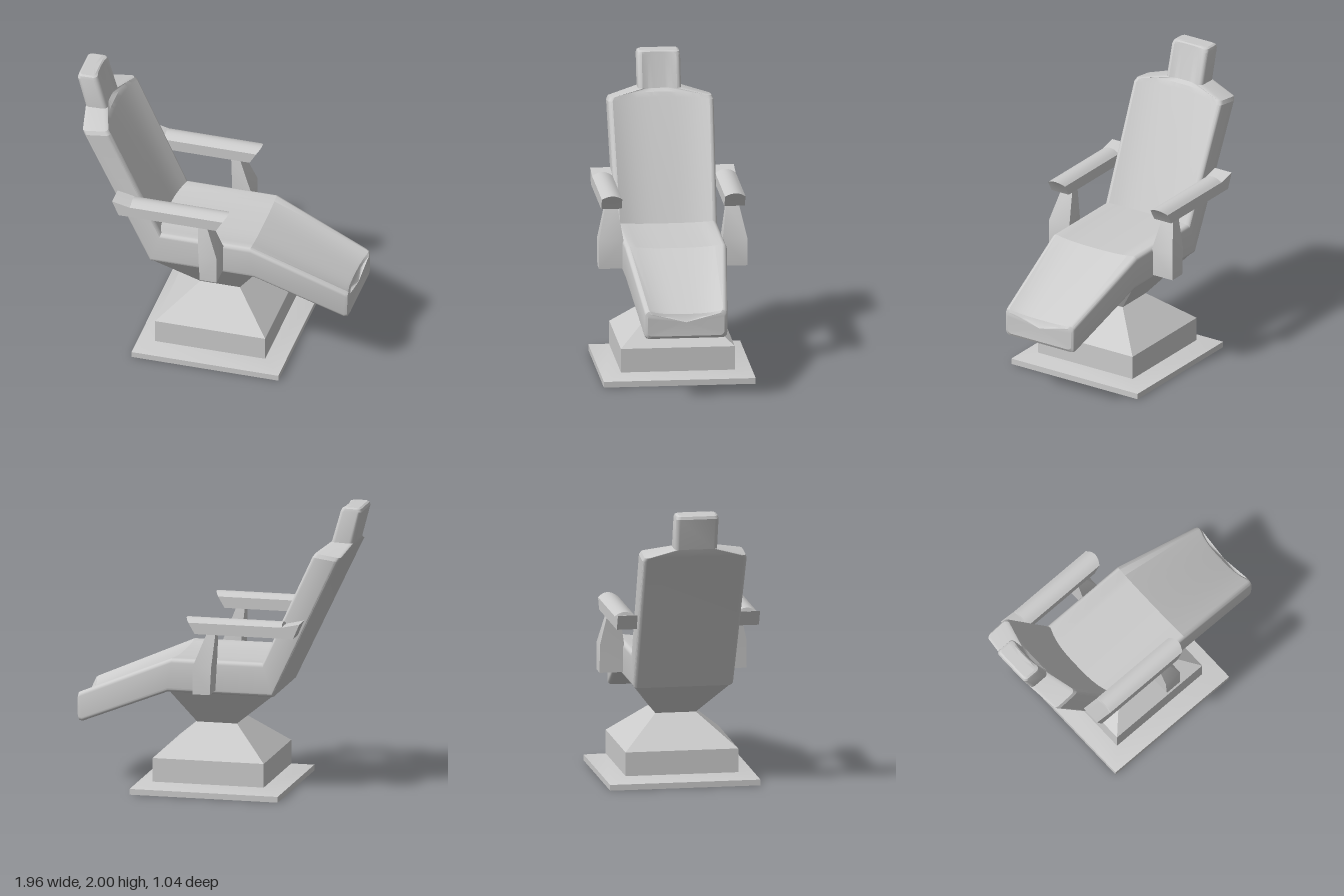
import * as THREE from 'three';
import { toCreasedNormals } from 'three/addons/utils/BufferGeometryUtils.js';

const material = new THREE.MeshStandardMaterial({ color: 0xcccccc });

// Closed skin through rings of [x, y, z] points, with fan caps at both ends.
function loft(name, rings, crease = 0.4) {
  const n = rings[0].length;
  const pos = rings.flat(2);
  const idx = [];
  for (let r = 0; r < rings.length - 1; r++) {
    for (let i = 0; i < n; i++) {
      const a = r * n + i, b = r * n + (i + 1) % n;
      idx.push(a, b, b + n, a, b + n, a + n);
    }
  }
  [0, rings.length - 1].forEach((r, end) => {
    const c = pos.length / 3;
    for (let k = 0; k < 3; k++) pos.push(rings[r].reduce((s, p) => s + p[k], 0) / n);
    for (let i = 0; i < n; i++) {
      const a = r * n + i, b = r * n + (i + 1) % n;
      idx.push(c, ...(end ? [a, b] : [b, a]));
    }
  });
  // A negative enclosed volume means the faces point inward, so turn them.
  const v = (i) => new THREE.Vector3().fromArray(pos, i * 3);
  let volume = 0;
  for (let i = 0; i < idx.length; i += 3) volume += v(idx[i]).dot(v(idx[i + 1]).cross(v(idx[i + 2])));
  if (volume < 0) idx.reverse();

  const geo = new THREE.BufferGeometry();
  geo.setAttribute('position', new THREE.Float32BufferAttribute(pos, 3));
  geo.setIndex(idx);
  const mesh = new THREE.Mesh(toCreasedNormals(geo, crease), material);
  mesh.name = name;
  return mesh;
}

// Horizontal rectangle
const rect = (y, x0, x1, z0, z1) => [[x0, y, z0], [x1, y, z0], [x1, y, z1], [x0, y, z1]];

// Rounded cushion section from outer point to inner edge, with a dished inner face.
function cushionRing([ox, oy, ix, iy, dx, dy, w, r = 0.03]) {
  const len = Math.hypot(ix - ox, iy - oy);
  const ring = [];
  const add = (z, d, dish = 0) => {
    const t = d / len;
    ring.push([ox + (ix - ox) * t + dx * dish, oy + (iy - oy) * t + dy * dish, z]);
  };
  const arc = (z, d, start) => {
    for (let i = 0; i <= 5; i++) {
      const a = start + (i / 5) * Math.PI / 2;
      add(z + r * Math.cos(a), d + r * Math.sin(a));
    }
  };
  arc(w - r, r, -Math.PI / 2);
  arc(w - r, len - r, 0);
  for (let i = 1; i < 12; i++) {
    const s = 1 - i / 6;
    add(s * (w - r), len, 1 - Math.abs(s) ** 3);
  }
  arc(-w + r, len - r, Math.PI / 2);
  arc(-w + r, r, Math.PI);
  return ring;
}

export function createModel() {
  const model = new THREE.Group();
  model.name = 'recliningChair';

  // Headrest, back, seat and leg rest: outer x,y, inner x,y, dish x,y, half width
  const stations = [
    [-0.965, 1.998, -0.865, 2.0, 0, 0, 0.128, 0.02],
    [-0.978, 1.99, -0.845, 1.993, -0.01, 0, 0.142],
    [-0.983, 1.97, -0.835, 1.973, -0.015, 0, 0.148],
    [-0.925, 1.75, -0.772, 1.755, -0.015, 0, 0.148],
    [-0.89, 1.69, -0.71, 1.715, -0.05, 0.02, 0.35],
    [-0.875, 1.665, -0.69, 1.69, -0.05, 0.01, 0.362],
    [-0.41, 0.69, -0.335, 0.925, -0.045, -0.02, 0.347],
    [0.33, 0.69, 0.3, 0.925, 0, -0.02, 0.347],
    [0.945, 0.438, 0.955, 0.645, -0.03, -0.03, 0.284],
    [0.968, 0.442, 0.972, 0.635, -0.03, -0.03, 0.278],
    [0.978, 0.46, 0.98, 0.615, -0.03, -0.03, 0.262],
  ];
  model.add(loft('cushion', stations.map(cushionRing)));

  // Funnel under the seat
  model.add(loft('seatSupport', [
    rect(0.45, -0.11, 0.17, -0.14, 0.14),
    rect(0.7, -0.41, 0.32, -0.33, 0.33),
  ]));

  // Square pedestal on a bevelled floor plate
  const square = ([y, h]) => rect(y, 0.03 - h, 0.03 + h, -h, h);
  model.add(loft('floorPlate', [[0, 0.52], [0.04, 0.52], [0.07, 0.39]].map(square)));
  model.add(loft('pedestal', [[0.06, 0.39], [0.235, 0.39], [0.45, 0.14]].map(square)));

  // Arm section: edge x,y, crown x,y, bottom x
  const armRing = (side) => ([ex, ey, cx, cy, bx]) => {
    const ring = [[bx, 1.14, side * 0.352], [bx, 1.14, side * 0.492]];
    for (let i = 0; i <= 8; i++) {
      const s = 1 - i / 4, k = 1 - s * s;
      ring.push([ex + (cx - ex) * k, ey + (cy - ey) * k, side * (0.422 + 0.07 * s)]);
    }
    return ring;
  };
  for (const side of [1, -1]) {
    const arm = new THREE.Group();
    arm.name = side > 0 ? 'leftArm' : 'rightArm';
    arm.add(loft('armrest', [
      [-0.635, 1.245, -0.635, 1.245, -0.59],
      [-0.512, 1.217, -0.512, 1.22, -0.51],
      [-0.508, 1.217, -0.508, 1.245, -0.508],
      [0.145, 1.217, 0.17, 1.245, 0.1],
    ].map(armRing(side))));
    arm.add(loft('armPost', [
      rect(1.15, -0.038, 0.02, side * 0.375, side * 0.455),
      rect(0.915, -0.02, 0.11, side * 0.34, side * 0.508),
      rect(0.722, -0.01, 0.11, side * 0.34, side * 0.508),
    ]));
    model.add(arm);
  }
  return model;
}
